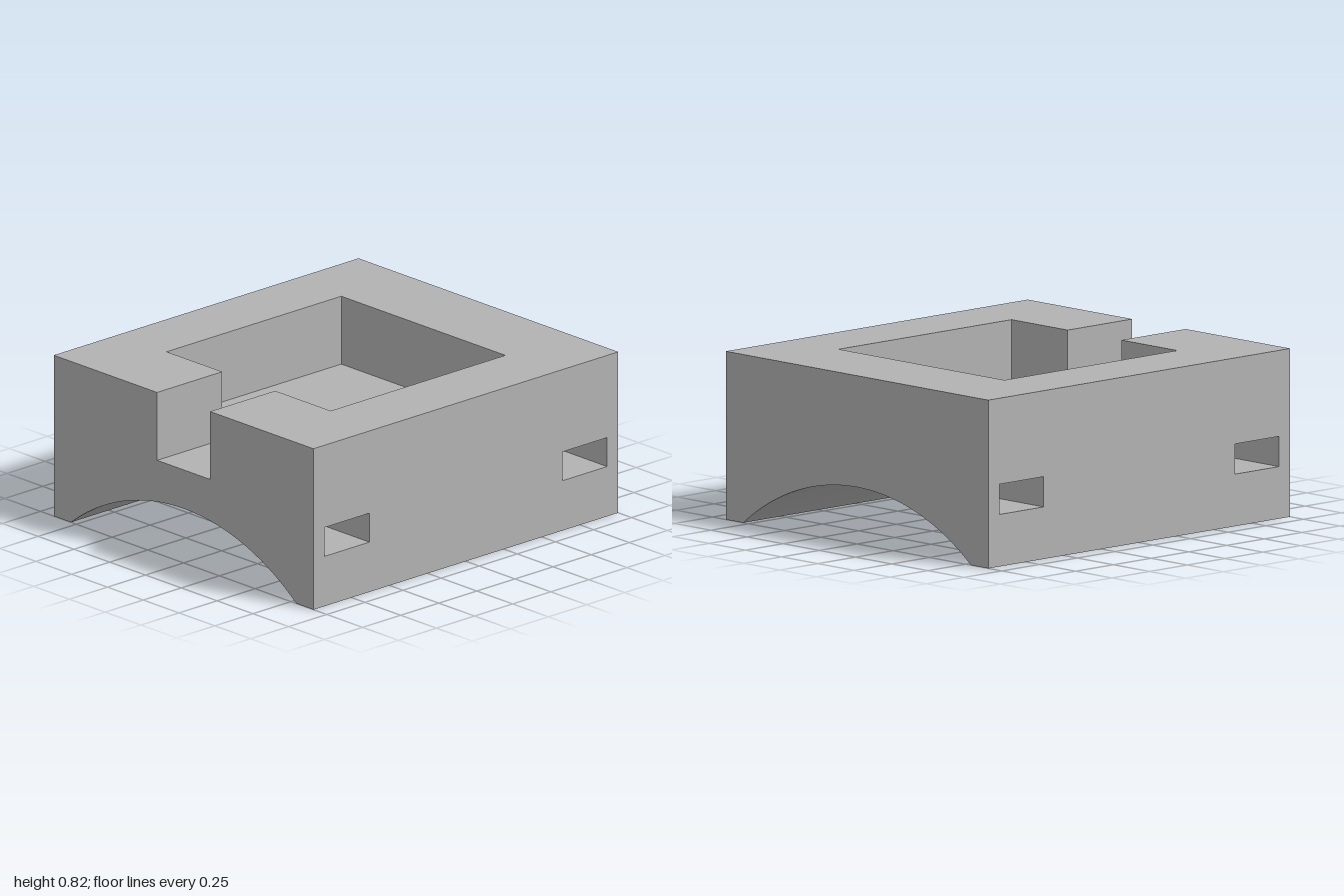
import * as THREE from 'three';
import { mergeGeometries, mergeVertices } from 'three/addons/utils/BufferGeometryUtils.js';

// Block half depth, height, pocket floor, pocket half size, channel half width
const D = 0.907, H = 0.818, FLOOR = 0.473, P = 0.573, C = 0.185;
// Side slots
const SX0 = 0.633, SX1 = 0.927, SY0 = 0.253, SY1 = 0.4;
// Underside arch, a circular arc
const AW = 0.787, AH = 0.276;
const R = (AW * AW + AH * AH) / (2 * AH), CY = AH - R;
const END = Math.asin(AW / R), CUT = Math.acos((SY0 - CY) / R), CZ = R * Math.sin(CUT);

const arcPoint = t => [R * Math.sin(t), CY + R * Math.cos(t)];
const arc = (half, n) => Array.from({ length: n + 1 }, (_, i) => arcPoint(half * (2 * i / n - 1)));
const rect = (u0, u1, v0, v1) => [[u0, v0], [u1, v0], [u1, v1], [u0, v1]];
const vecs = pts => pts.map(p => new THREE.Vector2(...p));

// Planes that place a flat (u, v) outline in space, named by the facing direction
const facing = {
  front: z => (u, v) => [u, v, z],
  back: z => (u, v) => [-u, v, z],
  plusX: x => (u, v) => [x, v, -u],
  minusX: x => (u, v) => [x, v, u],
  up: y => (u, v) => [u, y, -v],
  down: y => (u, v) => [u, y, v],
};

function mapped(geo, map) {
  const p = geo.attributes.position;
  for (let i = 0; i < p.count; i++) p.setXYZ(i, ...map(p.getX(i), p.getY(i)));
  geo.deleteAttribute('uv');
  geo.computeVertexNormals();
  return geo;
}

function panel(outline, map, holes = []) {
  const shape = new THREE.Shape(vecs(outline));
  holes.forEach(h => shape.holes.push(new THREE.Path(vecs(h))));
  return mapped(new THREE.ShapeGeometry(shape), map);
}

// Curved piece of the underside between two x positions and two arc angles
function archPiece(x0, x1, t0, t1, n) {
  const geo = new THREE.PlaneGeometry(x1 - x0, t1 - t0, 1, n);
  geo.translate((x0 + x1) / 2, (t0 + t1) / 2, 0);
  return mapped(geo, (x, t) => {
    const [z, y] = arcPoint(t);
    return [x, y, z];
  });
}

export function createModel() {
  const group = new THREE.Group();
  const grey = new THREE.MeshStandardMaterial({ color: 0xb2b2b2, side: THREE.DoubleSide });
  grey.name = 'grey';
  const add = (name, geos) => {
    const mesh = new THREE.Mesh(mergeGeometries(geos), grey);
    mesh.name = name;
    group.add(mesh);
  };

  // Front and back faces, pierced by the two slots
  const slotHoles = [rect(SX0, SX1, SY0, SY1), rect(-SX1, -SX0, SY0, SY1)];
  add('frontFace', [panel(rect(-1, 1, 0, H), facing.front(D), slotHoles)]);
  add('backFace', [panel(rect(-1, 1, 0, H), facing.back(-D), slotHoles)]);

  // Arched side faces; one is notched by the channel
  const archSide = [[-D, 0], ...arc(END, 48), [D, 0], [D, H]];
  add('archedSide', [panel([...archSide, [-D, H]], facing.plusX(1))]);
  add('notchedSide', [panel(
    [...archSide, [C, H], [C, FLOOR], [-C, FLOOR], [-C, H], [-D, H]], facing.minusX(-1))]);

  // Top rim, pocket floor and pocket walls, with the channel open to one side
  const pocket = [[-1, -C], [-P, -C], [-P, -P], [P, -P], [P, P], [-P, P], [-P, C], [-1, C]];
  add('topRim', [panel([...pocket, [-1, D], [1, D], [1, -D], [-1, -D]], facing.up(H))]);
  add('pocketFloor', [panel(pocket, facing.up(FLOOR))]);
  add('pocketWalls', pocket.slice(1).map(([bx, bz], i) => {
    const [ax, az] = pocket[i];
    return panel(rect(0, 1, FLOOR, H), (u, y) => [ax + (bx - ax) * u, y, az + (bz - az) * u]);
  }));

  // Feet along the front and back edges
  add('feet', [panel(rect(-1, 1, AW, D), facing.down(0)), panel(rect(-1, 1, -D, -AW), facing.down(0))]);

  // Arched underside, open where the slots break through its crown
  const arch = mergeGeometries([
    archPiece(-1, 1, -END, -CUT, 18),
    archPiece(-1, 1, CUT, END, 18),
    archPiece(-1, -SX1, -CUT, CUT, 12),
    archPiece(-SX0, SX0, -CUT, CUT, 12),
    archPiece(SX1, 1, -CUT, CUT, 12),
  ]);
  arch.deleteAttribute('normal');
  const underside = mergeVertices(arch, 1e-4);
  underside.computeVertexNormals();
  add('archUnderside', [underside]);

  // Slots running from front to back
  const wall = [[-D, SY0], ...arc(CUT, 12), [D, SY0], [D, SY1], [-D, SY1]];
  for (const [name, x0, x1] of [['leftSlot', SX0, SX1], ['rightSlot', -SX1, -SX0]]) {
    add(name, [
      panel(wall, facing.plusX(x0)),
      panel(wall, facing.minusX(x1)),
      panel(rect(x0, x1, -D, D), facing.down(SY1)),
      panel(rect(x0, x1, CZ, D), facing.up(SY0)),
      panel(rect(x0, x1, -D, -CZ), facing.up(SY0)),
    ]);
  }
  return group;
}
